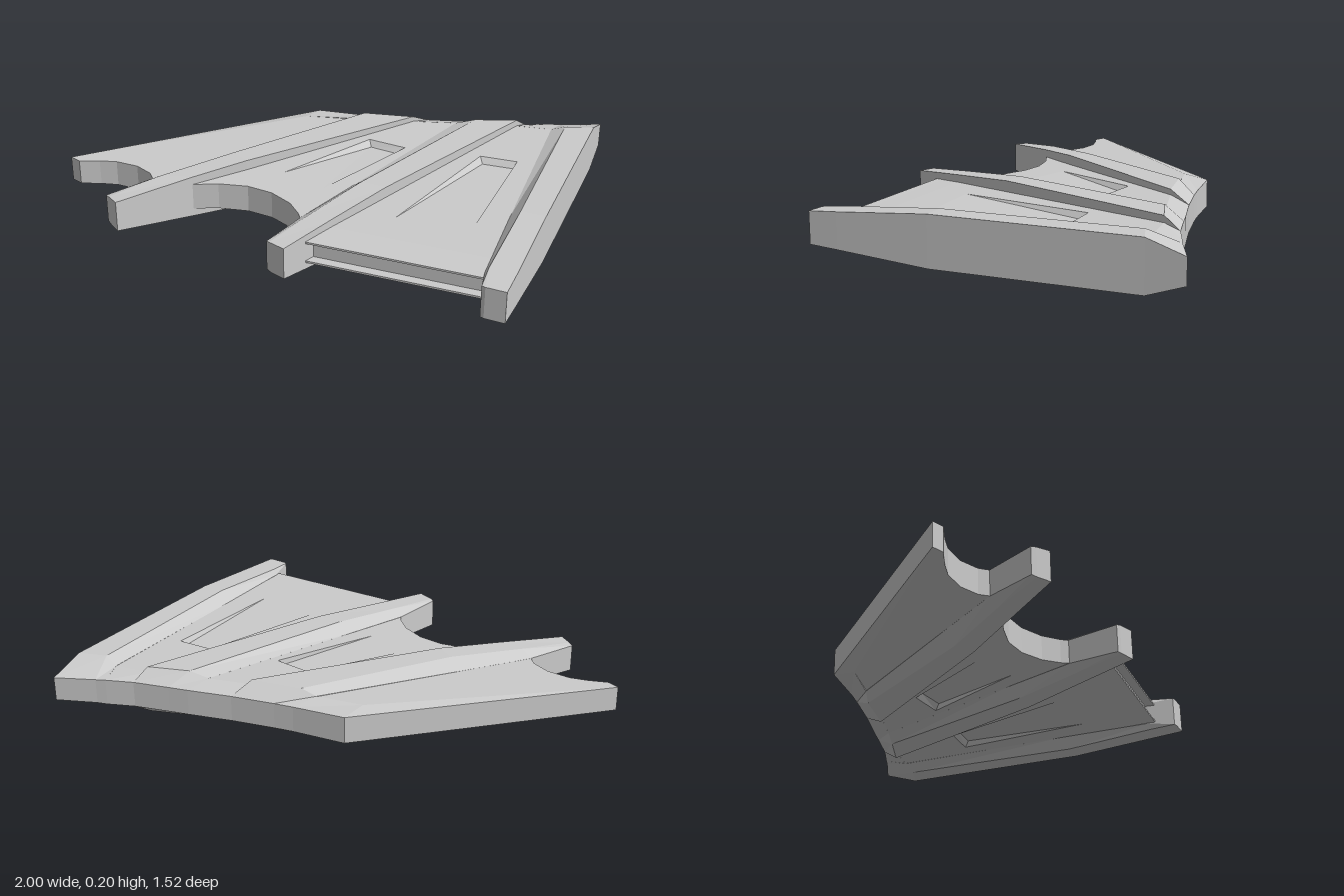
import * as THREE from 'three';

const MID = 0.102; // height of the plane of symmetry

// Solid with mirrored top and bottom. Points are [x, z, halfThickness];
// with lo > 0 it becomes two plates separated by a gap of 2 * lo.
function slab(name, points, { hole = null, lo = 0 } = {}) {
  const to2 = (p) => new THREE.Vector2(p[0], -p[1]);
  const orient = (pts, clockwise) =>
    THREE.ShapeUtils.isClockWise(pts.map(to2)) === clockwise ? pts.slice() : pts.slice().reverse();
  const outer = orient(points, false);
  const inner = hole ? orient(hole, true) : [];
  const all = [...outer, ...inner];
  const pos = [];
  const tri = (a, b, c) => {
    for (const [x, y, z] of [a, b, c]) pos.push(x, MID + y, z);
    for (const [x, y, z] of [a, c, b]) pos.push(x, MID - y, z);
  };
  const hi = (p) => [p[0], p[2], p[1]];
  const low = (p) => [p[0], lo, p[1]];

  // Caps
  const faces = THREE.ShapeUtils.triangulateShape(outer.map(to2), hole ? [inner.map(to2)] : []);
  for (const f of faces) {
    let [a, b, c] = f.map((i) => all[i]);
    const area = (b[0] - a[0]) * (a[1] - c[1]) - (a[1] - b[1]) * (c[0] - a[0]);
    if (area < 0) [b, c] = [c, b];
    tri(hi(a), hi(b), hi(c));
    if (lo > 0) tri(low(a), low(c), low(b));
  }
  // Walls
  for (const loop of [outer, inner]) {
    loop.forEach((a, i) => {
      const b = loop[(i + 1) % loop.length];
      tri(low(a), low(b), hi(b));
      tri(low(a), hi(b), hi(a));
    });
  }
  const geo = new THREE.BufferGeometry();
  geo.setAttribute('position', new THREE.Float32BufferAttribute(pos, 3));
  geo.computeVertexNormals();
  const mesh = new THREE.Mesh(geo, new THREE.MeshStandardMaterial({ color: 0xcccccc, flatShading: true }));
  mesh.name = name;
  return mesh;
}

// Rib from sections of three points: chamfer foot, ridge, cliff edge
function rib(name, sections) {
  const g = new THREE.Group();
  g.name = name;
  for (let i = 0; i < sections.length - 1; i++) {
    const s = sections[i], t = sections[i + 1];
    for (let j = 0; j < 2; j++) {
      g.add(slab(j ? 'ribTop' : 'ribChamfer', [s[j], s[j + 1], t[j + 1], t[j]]));
    }
  }
  return g;
}

// Ramped pocket sunk at the back and running out at the front
function pocket(name, [a, b, c, d], depth) {
  const g = new THREE.Group();
  g.name = name;
  const b2 = [b[0] + 0.015, b[1] + 0.02, b[2] - depth];
  const c2 = [c[0] - 0.012, c[1] + 0.02, c[2] - depth];
  g.add(
    slab('pocketFloor', [a, b2, c2, d]),
    slab('pocketBack', [b, c, c2, b2]),
    slab('pocketLeftWall', [a, b, b2]),
    slab('pocketRightWall', [d, c2, c])
  );
  return g;
}

export function createModel() {
  const root = new THREE.Group();
  root.name = 'webbedWing';
  const withHeight = (pts, h) => pts.map(([x, z]) => [x, z, h(x, z)]);

  // Ribs, back to front
  root.add(
    rib('outerRib', [
      [[0.02, -0.465, 0.055], [0.1, -0.48, 0.055], [0.28, -0.52, 0.055]],
      [[-0.03, -0.37, 0.074], [0.03, -0.39, 0.102], [0.24, -0.43, 0.102]],
      [[-0.4, 0.15, 0.061], [-0.34, 0.17, 0.102], [-0.26, 0.22, 0.102]],
      [[-0.59, 0.42, 0.055], [-0.54, 0.43, 0.083], [-0.415, 0.41, 0.088]],
      [[-0.69, 0.62, 0.058], [-0.67, 0.635, 0.062], [-0.62, 0.67, 0.064]],
    ]),
    rib('middleRib', [
      [[0.46, -0.57, 0.055], [0.54, -0.59, 0.055], [0.69, -0.63, 0.055]],
      [[0.42, -0.48, 0.081], [0.5, -0.5, 0.102], [0.67, -0.56, 0.102]],
      [[0.19, 0.2, 0.061], [0.24, 0.22, 0.102], [0.345, 0.23, 0.102]],
      [[0.09, 0.5, 0.053], [0.13, 0.52, 0.08], [0.225, 0.52, 0.082]],
      [[0.045, 0.72, 0.06], [0.06, 0.73, 0.064], [0.13, 0.757, 0.065]],
    ]),
    rib('rootRib', [
      [[0.8, -0.675, 0.055], [0.84, -0.69, 0.053], [1, -0.763, 0.051]],
      [[0.82, -0.58, 0.076], [0.88, -0.57, 0.102], [0.996, -0.61, 0.102]],
      [[0.84, 0.2, 0.057], [0.885, 0.23, 0.102], [0.985, 0.23, 0.102]],
      [[0.855, 0.62, 0.048], [0.87, 0.62, 0.073], [0.975, 0.62, 0.073]],
      [[0.875, 0.735, 0.064], [0.89, 0.74, 0.065], [0.97, 0.745, 0.065]],
    ])
  );

  // Outer web
  const outerH = (x, z) => 0.0666 + 0.0087 * x - 0.0161 * z;
  root.add(slab('outerWeb', [
    [-0.2, -0.435, 0.057], [-1, 0.37, 0.052],
    ...withHeight([
      [-0.95, 0.39], [-0.87, 0.36], [-0.8, 0.342], [-0.7, 0.348], [-0.62, 0.385], [-0.59, 0.42],
      [-0.38, 0.15], [-0.02, -0.37], [-0.22, -0.33],
    ], outerH),
  ]));

  // Middle web with its pocket
  const middleH = (x, z) => 0.08 - 0.0294 * (z + 0.45);
  const middlePocket = withHeight([[-0.11, 0.19], [0.12, -0.205], [0.285, -0.185], [0.09, 0.25]], middleH);
  root.add(
    slab('middleWeb', withHeight([
      [0.24, -0.43], [-0.415, 0.41], [-0.32, 0.368], [-0.2, 0.345], [-0.09, 0.36], [0.01, 0.41],
      [0.07, 0.47], [0.09, 0.5], [0.2, 0.2], [0.42, -0.48],
    ], middleH), { hole: middlePocket }),
    pocket('middlePocket', middlePocket, 0.025)
  );

  // Inner web with its pocket and grooved front edge
  const innerH = (x, z) => 0.075 - 0.0227 * (z + 0.58);
  const innerPocket = withHeight([[0.43, 0.37], [0.6, -0.235], [0.755, -0.24], [0.73, 0.35]], innerH);
  const edge = (z, h) => [[0.67 - 0.4132 * (z + 0.56), z, h], [0.86, z, h]];
  const [l0, r0] = edge(0.52, 0.05), [l1, r1] = edge(0.61, 0.0465), [l2, r2] = edge(0.65, 0.045);
  root.add(
    slab('innerWeb', [
      ...withHeight([[0.67, -0.56], [0.82, -0.58], [0.85, 0.2]], innerH), r0, l0,
    ], { hole: innerPocket }),
    pocket('innerPocket', innerPocket, 0.025),
    slab('innerWebFront', [l0, r0, r1, l1]),
    slab('innerWebLips', [l1, r1, r2, l2], { lo: 0.037 })
  );

  // Bevels of the webs along the back edge
  root.add(
    slab('outerBackBevel', [[-0.2, -0.435, 0.057], [0.02, -0.465, 0.055], [-0.03, -0.37, 0.074], [-0.22, -0.33, 0.07]]),
    slab('middleBackBevel', [[0.28, -0.52, 0.055], [0.46, -0.57, 0.055], [0.42, -0.48, 0.081], [0.24, -0.43, 0.08]]),
    slab('innerBackBevel', [[0.69, -0.63, 0.055], [0.8, -0.675, 0.055], [0.82, -0.58, 0.075], [0.67, -0.56, 0.075]])
  );
  return root;
}
